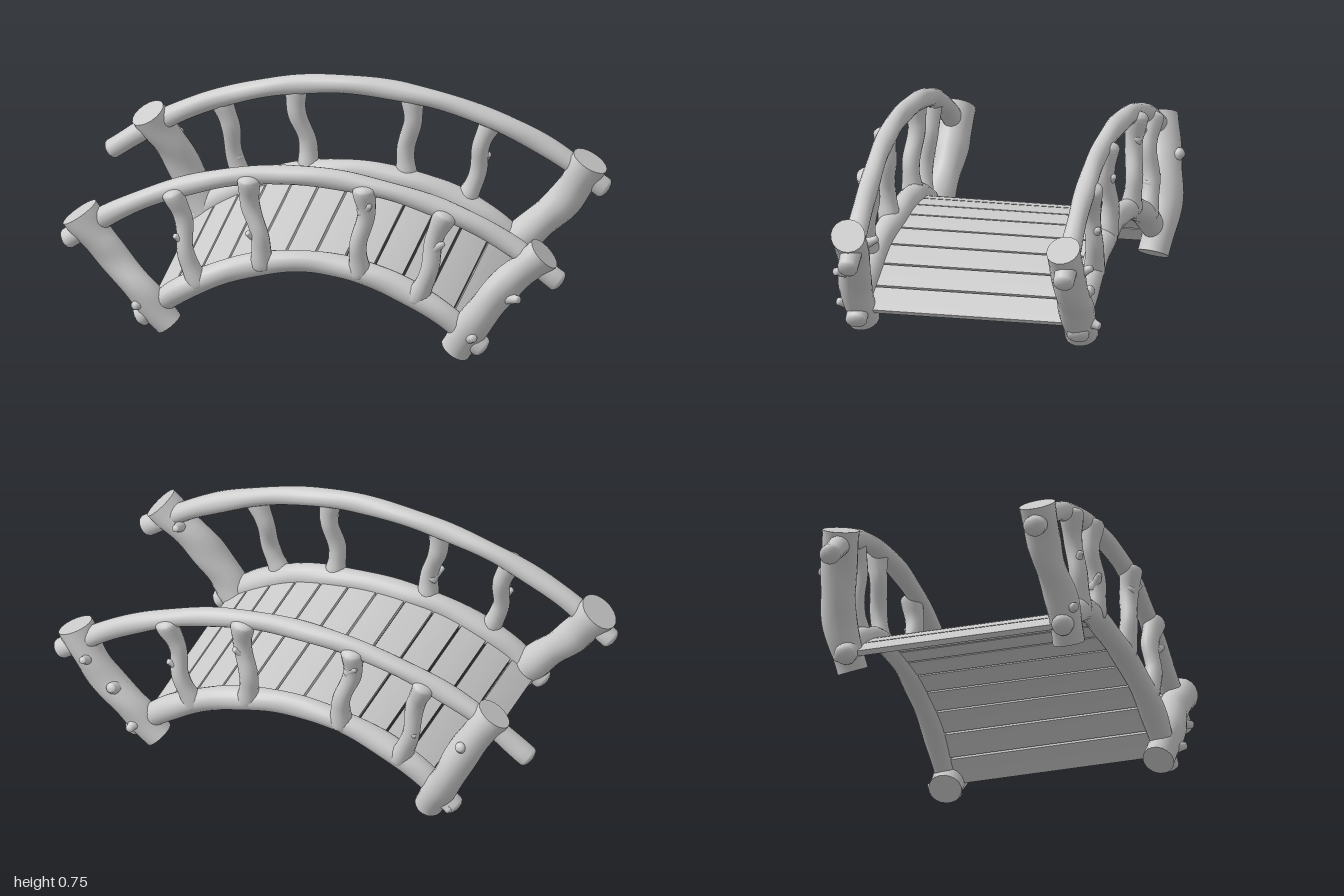
import * as THREE from 'three';
import { mergeGeometries } from 'three/addons/utils/BufferGeometryUtils.js';

const wood = new THREE.MeshStandardMaterial({ color: 0xcccccc });
const V = (p) => new THREE.Vector3(...p);

// Swept log: path points, radii along it, gentle lumps, rounded or sawn ends
function log(points, radii, { round = false, lump = 0.06, seed = 0, segs = 32, sides = 18 } = {}) {
  const curve = new THREE.CatmullRomCurve3(points.map(V));
  const frames = curve.computeFrenetFrames(segs);
  const length = curve.getLength();
  const pos = [], idx = [];
  const radiusAt = (t) => {
    const f = t * (radii.length - 1), i = Math.min(Math.floor(f), radii.length - 2);
    return THREE.MathUtils.lerp(radii[i], radii[i + 1], THREE.MathUtils.smoothstep(f - i, 0, 1));
  };
  const ring = (c, i, r, t) => {
    for (let j = 0; j < sides; j++) {
      const a = (j / sides) * Math.PI * 2;
      const k = r * (1 + lump * Math.sin(2 * a + seed + t * 7) * Math.sin(t * length * 16 + seed * 2));
      const p = c.clone().addScaledVector(frames.normals[i], k * Math.cos(a))
        .addScaledVector(frames.binormals[i], k * Math.sin(a));
      pos.push(p.x, p.y, p.z);
    }
  };
  // ring list: optional dome rings at both ends
  const dome = round ? [0.08, 0.4, 0.7, 0.92] : [];
  const rings = [];
  dome.forEach((s) => rings.push([0, s, -1]));
  for (let i = 0; i <= segs; i++) rings.push([i, 1, 0]);
  [...dome].reverse().forEach((s) => rings.push([segs, s, 1]));
  rings.forEach(([i, s, end]) => {
    const t = i / segs, r = radiusAt(t);
    const c = curve.getPointAt(t).addScaledVector(frames.tangents[i], end * r * 0.5 * Math.sqrt(1 - s * s));
    ring(c, i, r * s, t);
  });
  for (let i = 0; i < rings.length - 1; i++) {
    for (let j = 0; j < sides; j++) {
      const a = i * sides + j, b = i * sides + (j + 1) % sides;
      idx.push(a, b, a + sides, b, b + sides, a + sides);
    }
  }
  // end caps with their own vertices, so sawn edges stay sharp
  [0, rings.length - 1].forEach((row, e) => {
    const base = pos.length / 3, c = curve.getPointAt(e);
    if (round) c.addScaledVector(frames.tangents[e * segs], (e ? 1 : -1) * radiusAt(e) * 0.5);
    pos.push(...pos.slice(row * sides * 3, (row + 1) * sides * 3), c.x, c.y, c.z);
    for (let j = 0; j < sides; j++) {
      const a = base + j, b = base + (j + 1) % sides;
      idx.push(base + sides, ...(e ? [a, b] : [b, a]));
    }
  });
  const g = new THREE.BufferGeometry();
  g.setAttribute('position', new THREE.Float32BufferAttribute(pos, 3));
  g.setIndex(idx);
  g.computeVertexNormals();
  return g;
}

// Short tapered twig stub
const stub = (from, to, r = 0.04) => log([from, to], [r * 1.5, r * 0.9, r * 0.6], { round: true, segs: 8, sides: 12, lump: 0 });

function part(name, ...geometries) {
  const mesh = new THREE.Mesh(geometries.length > 1 ? mergeGeometries(geometries) : geometries[0], wood);
  mesh.name = name;
  return mesh;
}

// Circular arches of the handrail, bottom beam and deck
const arch = (top, R) => (x) => top - R + Math.sqrt(R * R - x * x);
const railY = arch(0.715, 1.5), beamY = arch(0.345, 0.95);
const archPath = (f, half, z) => Array.from({ length: 11 }, (_, i) => {
  const x = (i / 5 - 1) * half;
  return [x, f(x), z(x)];
});

// One railing; d holds its own post shapes, drift and knots
function railing(name, s, d) {
  const g = new THREE.Group();
  g.name = name;
  g.add(part('handrail',
    log(archPath(railY, 0.97, d.railZ), [0.042, 0.04, 0.037, 0.039, 0.037, 0.04, 0.042], { round: true, seed: s, segs: 64 })));
  g.add(part('bottomBeam',
    log(archPath(beamY, 0.675, d.beamZ), [0.042, 0.05, 0.046, 0.044, 0.048, 0.05, 0.042], { round: true, seed: s + 2, segs: 56 })));
  d.posts.forEach((p, i) => g.add(part('endPost',
    log(p.path, p.radii, { seed: s + i * 2, lump: 0.07 }),
    ...p.knots.map(([a, b, r]) => stub(a, b, r)))));

  // Crooked uprights with one knot each
  [[-0.55, -0.45], [-0.25, -0.2], [0.21, 0.19], [0.53, 0.42]].forEach(([xt, xb], i) => {
    const yt = railY(xt) - 0.01, yb = beamY(xb);
    const zt = d.railZ(xt) + s * 0.022, zb = d.beamZ(xb) + s * 0.01;
    const at = (t, dx, dz) => [xb + (xt - xb) * t + dx, yb + (yt - yb) * t, zb + (zt - zb) * t + dz];
    const w = (i % 2 ? 1 : -1) * 0.012;
    const k = 0.3 + 0.15 * ((i * 3 + (s > 0 ? 1 : 0)) % 4), side = i < 2 ? -1 : 1;
    g.add(part('upright',
      log([at(0, 0, 0), at(0.35, w, s * 0.008), at(0.7, -w, -s * 0.008), at(1, 0, 0)],
        [0.044, 0.036, 0.034, 0.037, 0.046], { round: true, seed: i + s, sides: 14, segs: 24 }),
      stub(at(k, 0, 0), at(k + 0.1, side * 0.03, s * 0.03), 0.019)));
  });
  return g;
}

export function createModel() {
  const model = new THREE.Group();
  model.name = 'logFootbridge';

  // Deck planks: curved slabs following the arch, separated by narrow gaps
  const deck = new THREE.Group();
  deck.name = 'deck';
  const R = 0.957, cy = 0.342 - R, n = 12, span = 1.49 / n, gap = 0.0045;
  for (let i = 0; i < n; i++) {
    const a0 = Math.PI / 2 + 0.755 - (i + 1) * span + gap, a1 = a0 + span - gap * 2;
    const shape = new THREE.Shape();
    shape.absarc(0, cy, R, a0, a1, false);
    shape.absarc(0, cy, R - 0.022, a1, a0, true);
    const geo = new THREE.ExtrudeGeometry(shape, { depth: 0.84, bevelEnabled: false, curveSegments: 2 });
    geo.translate(0, 0, -0.42);
    deck.add(part('plank', geo));
  }
  model.add(deck);

  // Front railing
  model.add(railing('frontRailing', 1, {
    railZ: (x) => 0.423 - 0.006 * x + 0.006 * Math.sin(x * 6),
    beamZ: (x) => 0.428 + 0.035 * x * x - 0.012 * Math.cos(x * 6),
    posts: [
      { path: [[-0.565, 0.04, 0.445], [-0.67, 0.17, 0.45], [-0.8, 0.31, 0.43], [-0.925, 0.475, 0.43]],
        radii: [0.06, 0.065, 0.06, 0.066, 0.076],
        knots: [[[-0.65, 0.14, 0.45], [-0.69, 0.13, 0.51], 0.028]] },
      { path: [[0.57, 0.04, 0.445], [0.67, 0.2, 0.455], [0.775, 0.34, 0.435], [0.92, 0.475, 0.425]],
        radii: [0.062, 0.066, 0.066, 0.064, 0.07],
        knots: [[[0.61, 0.1, 0.45], [0.66, 0.13, 0.525], 0.026], [[0.82, 0.4, 0.42], [0.82, 0.44, 0.335], 0.024],
          [[0.74, 0.28, 0.44], [0.83, 0.3, 0.495], 0.026]] },
    ],
  }));

  // Back railing
  model.add(railing('backRailing', -1, {
    railZ: (x) => -0.424 - 0.02 * x + 0.005 * Math.sin(x * 5),
    beamZ: (x) => -0.425 - 0.02 * x * x,
    posts: [
      { path: [[-0.57, 0.04, -0.435], [-0.665, 0.22, -0.46], [-0.735, 0.37, -0.44], [-0.83, 0.525, -0.4]],
        radii: [0.06, 0.066, 0.068, 0.068, 0.072],
        knots: [[[-0.73, 0.36, -0.44], [-0.73, 0.41, -0.51], 0.034], [[-0.62, 0.1, -0.44], [-0.67, 0.06, -0.47], 0.03]] },
      { path: [[0.57, 0.04, -0.425], [0.705, 0.18, -0.435], [0.82, 0.3, -0.44], [0.92, 0.475, -0.435]],
        radii: [0.062, 0.068, 0.066, 0.066, 0.07],
        knots: [[[0.84, 0.35, -0.45], [0.85, 0.39, -0.53], 0.024], [[0.64, 0.12, -0.44], [0.66, 0.1, -0.515], 0.026],
          [[0.74, 0.24, -0.45], [0.74, 0.27, -0.505], 0.034]] },
    ],
  }));
  return model;
}
